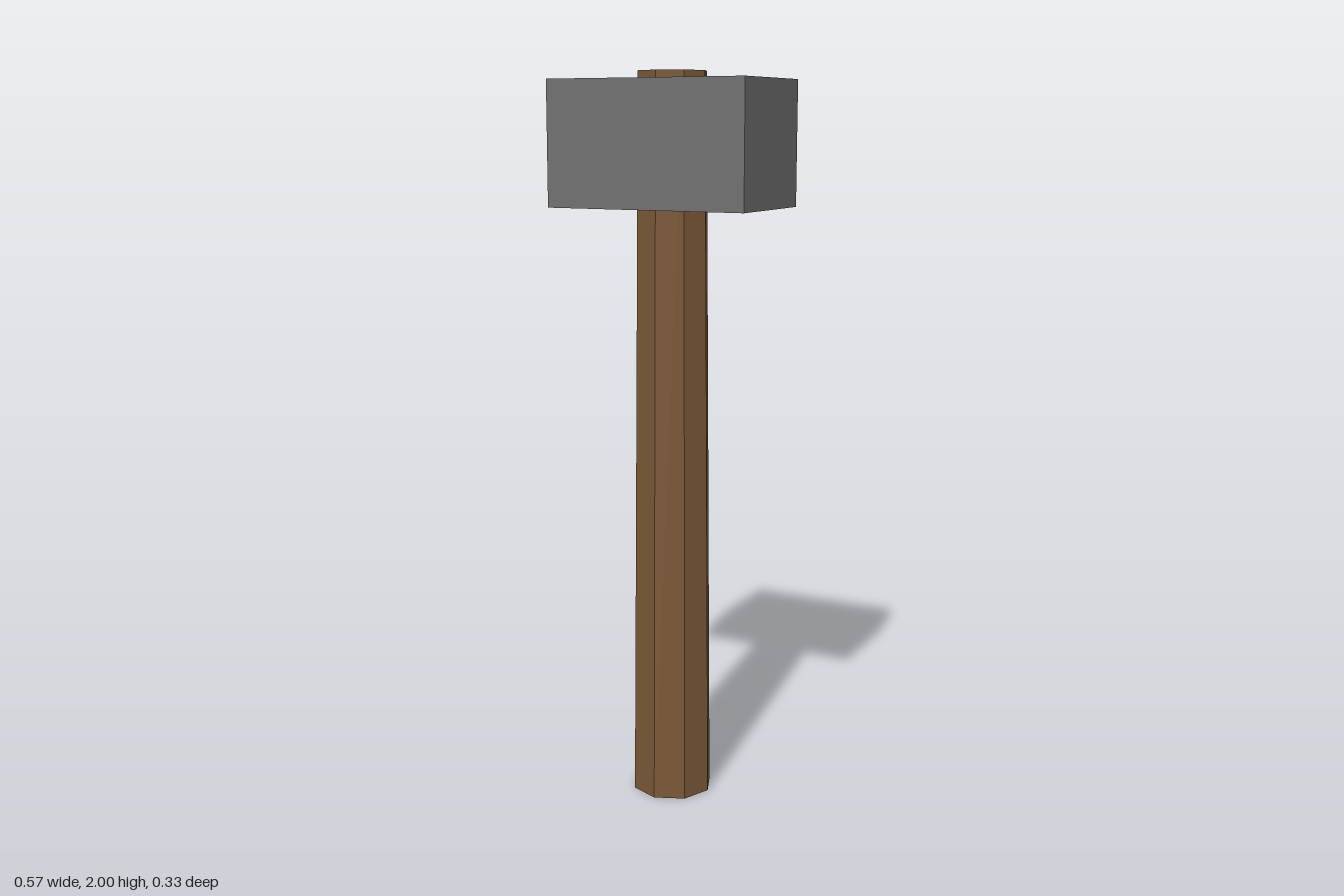
import * as THREE from 'three';

export function createModel() {
  const model = new THREE.Group();
  model.name = 'hammer';

  const wood = new THREE.MeshStandardMaterial({ color: 0x7a5836, flatShading: true, side: THREE.DoubleSide });
  wood.name = 'wood';
  const iron = new THREE.MeshStandardMaterial({ color: 0x707072, flatShading: true });
  iron.name = 'iron';

  // Tapered eight-sided handle, a hollow tube open at both ends
  const handle = new THREE.Mesh(new THREE.CylinderGeometry(0.095, 0.113, 2, 8, 1, true), wood);
  handle.name = 'handle';
  handle.position.y = 1;
  model.add(handle);

  // Block head, with the handle just poking out of the top
  const head = new THREE.Mesh(new THREE.BoxGeometry(0.572, 0.333, 0.334), iron);
  head.name = 'head';
  head.position.y = 1.8125;
  model.add(head);

  return model;
}
